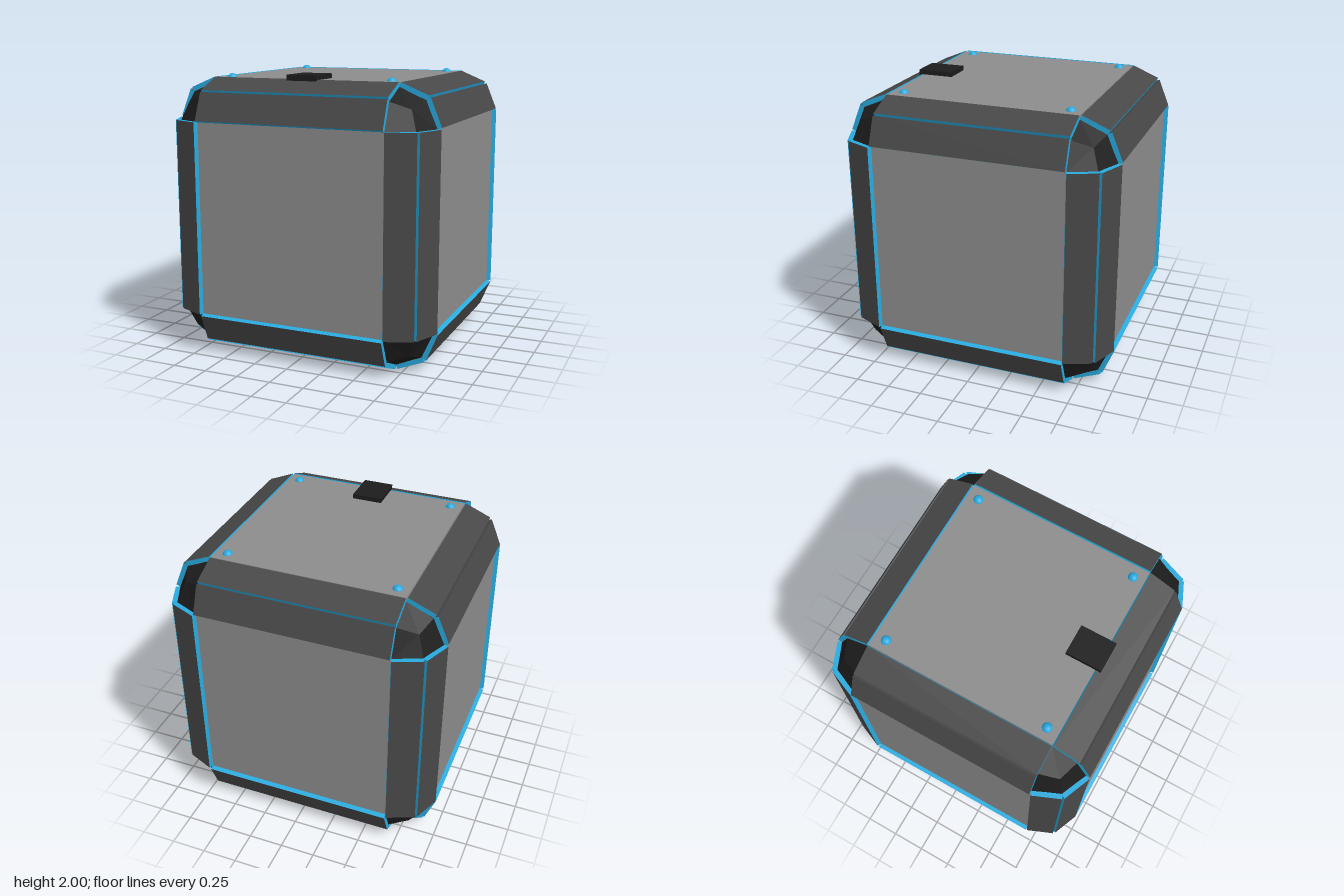
import * as THREE from 'three';

const mat = (color, extra = {}) => {
  const m = new THREE.MeshStandardMaterial(extra);
  m.color.set(color);
  return m;
};

export function createModel() {
  const grey = mat(0x8c8c8c), dark = mat(0x484848), blue = mat(0x28aade);
  const black = mat(0x1c1c1c, { side: THREE.DoubleSide });

  const model = new THREE.Group();
  model.name = 'chamferedCrate';
  const body = new THREE.Group();
  body.name = 'body';
  body.position.y = 0.985;
  model.add(body);

  const add = (parent, name, geometry, material, x = 0, y = 0, z = 0) => {
    const mesh = new THREE.Mesh(geometry, material);
    mesh.name = name;
    mesh.position.set(x, y, z);
    parent.add(mesh);
    return mesh;
  };
  // Turn a part about x and z first, then about the vertical axis
  const turned = (name, x, turn, z) => {
    const g = new THREE.Group();
    g.name = name;
    g.rotation.set(x, turn * Math.PI / 2, z, 'YXZ');
    body.add(g);
    return g;
  };

  // Dark core behind the seams
  add(body, 'core', new THREE.BoxGeometry(1.58, 1.58, 1.58), black);

  // Recessed side and bottom panels
  const panel = new THREE.BoxGeometry(1.38, 1.38, 0.04);
  for (let k = 0; k < 4; k++) add(turned('side', 0, k, 0), 'sidePanel', panel, grey, 0, 0, 0.935);
  add(turned('bottom', Math.PI / 2, 0, 0), 'bottomPanel', panel, grey, 0, 0, 0.935);

  // Raised lid
  add(body, 'lid', new THREE.BoxGeometry(1.38, 0.065, 1.38), grey, 0, 0.9495, 0);

  // Edge: two tilted planks with blue rims; a plank seam may be dark
  const tilt = Math.PI / 8, length = 0.208, thick = 0.035;
  const c = Math.cos(tilt), s = Math.sin(tilt);
  const px = 0.70 + c * length / 2 - s * thick / 2;
  const py = 0.985 - s * length / 2 - c * thick / 2;
  const plank = new THREE.BoxGeometry(length, thick, 1.38);
  const buildEdge = (edge, upperSeam, sideSeam) => {
    add(edge, 'upperPlank', plank, [upperSeam, blue, dark, dark, blue, blue], px, py).rotation.z = -tilt;
    add(edge, 'sidePlank', plank, [blue, sideSeam, dark, dark, blue, blue], py, px).rotation.z = tilt - Math.PI / 2;
  };
  for (let k = 0; k < 4; k++) {
    buildEdge(turned('topEdge', 0, k, 0), blue, dark);
    buildEdge(turned('bottomEdge', 0, k, -Math.PI / 2), dark, blue);
    buildEdge(turned('uprightEdge', Math.PI / 2, k, 0), blue, blue);
  }

  // Corner cap: three facets meeting in a point
  const a = 0.69, b = 0.873, d = 0.955, e = 0.825;
  const points = [];
  for (let i = 0; i < 3; i++) {
    const quad = [[a, a, d], [b, a, b], [e, e, e], [a, b, b]]
      .map(p => [p[(3 - i) % 3], p[(4 - i) % 3], p[(5 - i) % 3]]);
    for (const n of [0, 1, 2, 0, 2, 3]) points.push(...quad[n]);
  }
  const cap = new THREE.BufferGeometry();
  cap.setAttribute('position', new THREE.Float32BufferAttribute(points, 3));
  cap.computeVertexNormals();
  for (let k = 0; k < 4; k++) {
    add(turned('topCorner', 0, k, 0), 'cornerCap', cap, black);
    add(turned('bottomCorner', Math.PI / 2, k, 0), 'cornerCap', cap, black);
  }

  // Studs on the lid and the front latch
  const stud = new THREE.SphereGeometry(0.037, 24, 16);
  for (const x of [-0.605, 0.605])
    for (const z of [-0.605, 0.605]) add(model, 'lidStud', stud, blue, x, 1.955, z);
  add(model, 'latch', new THREE.BoxGeometry(0.22, 0.04, 0.26), black, 0, 1.98, 0.6);

  return model;
}
